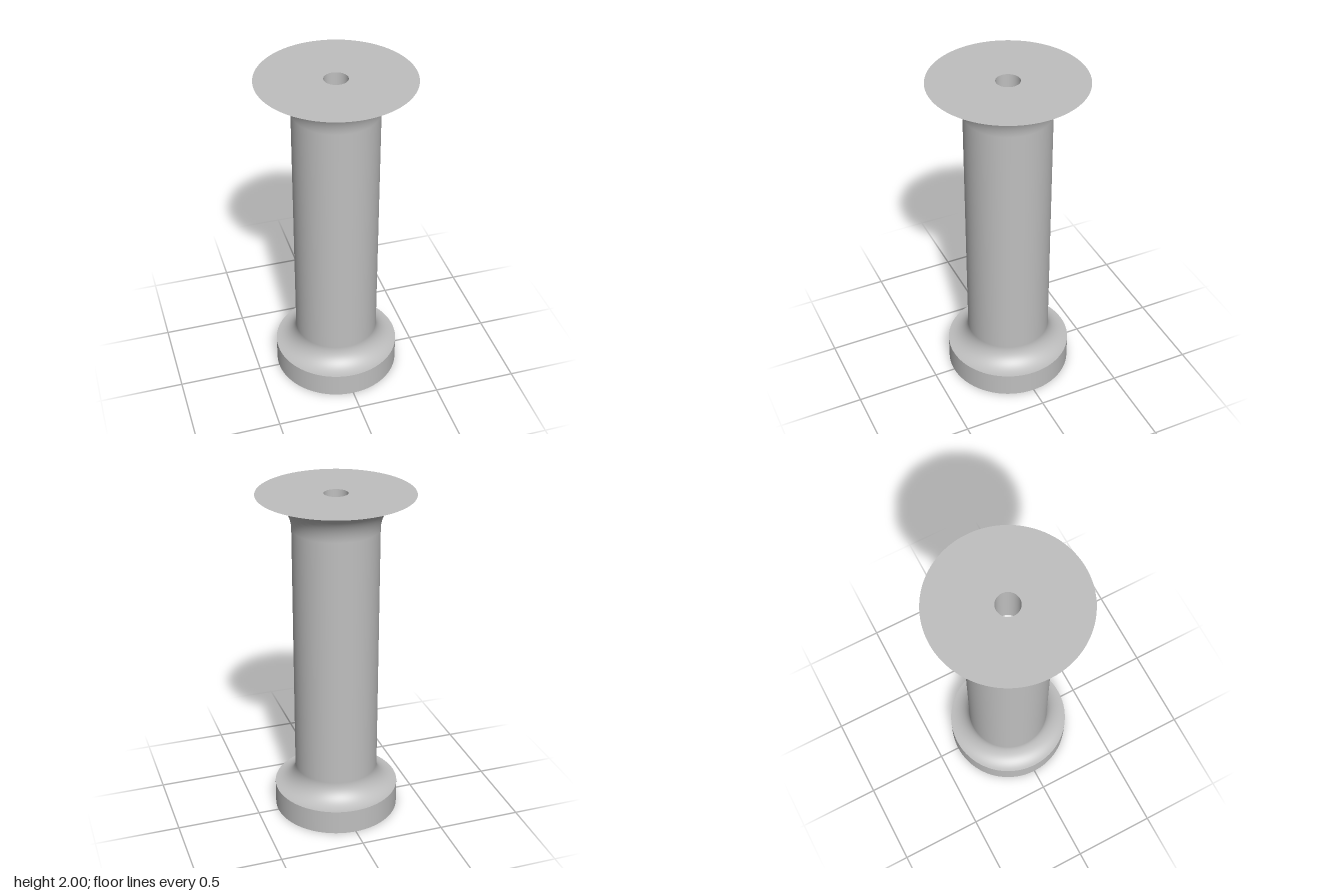
import * as THREE from 'three';

const SEGMENTS = 96;

// Quarter-circle fillet points around (cx, cy), from angle a to angle b
function arc(cx, cy, r, a, b, n = 16) {
  return Array.from({ length: n + 1 }, (_, i) => {
    const t = a + ((b - a) * i) / n;
    return [cx + r * Math.cos(t), cy + r * Math.sin(t)];
  });
}

export function createModel() {
  const group = new THREE.Group();
  const steel = new THREE.MeshStandardMaterial({ color: 0xbfbfbf });
  steel.name = 'steel grey';

  // Each profile is one smooth surface; separate profiles meet in sharp edges
  const turn = (name, profile) => {
    const points = profile.map(([x, y]) => new THREE.Vector2(x, y));
    const mesh = new THREE.Mesh(new THREE.LatheGeometry(points, SEGMENTS), steel);
    mesh.name = name;
    group.add(mesh);
  };

  // Foot disc
  turn('footUnderside', [[0, 0], [0.375, 0]]);
  turn('footRim', [[0.375, 0], [0.375, 0.15]]);

  // Column with a concave fillet at the foot and a wider flare at the top
  turn('column', [
    ...arc(0.375, 0.275, 0.125, 1.5 * Math.PI, Math.PI),
    ...arc(0.45, 1.8, 0.2, Math.PI, 0.5 * Math.PI),
  ]);

  // Flat top face with a drilled centre hole ending in a cone
  turn('topFace', [[0.45, 2], [0.069, 2]]);
  turn('holeWall', [[0.069, 2], [0.069, 1.7]]);
  turn('holeTip', [[0.069, 1.7], [0, 1.66]]);

  return group;
}
